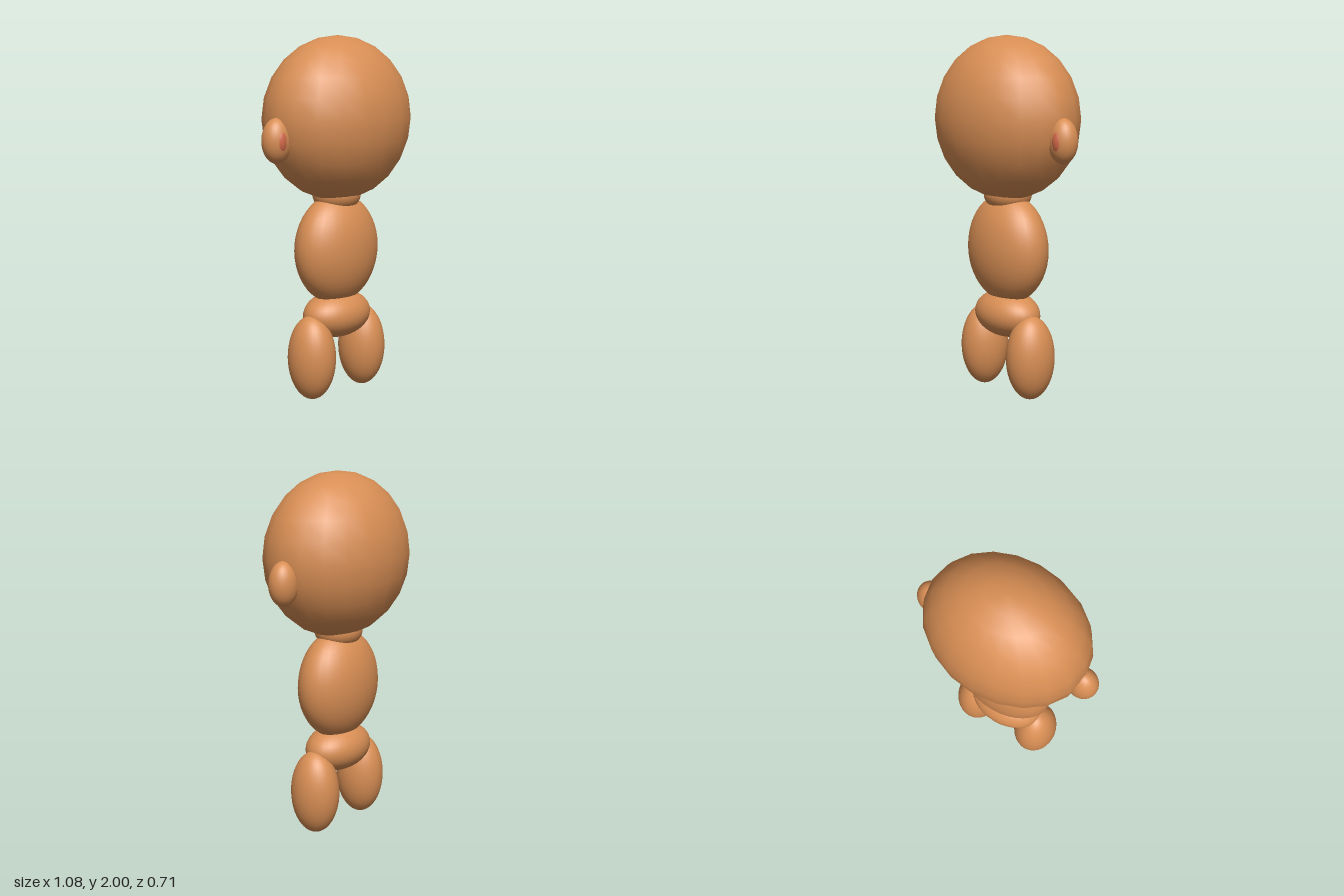
import * as THREE from 'three';

export function createModel() {
  const model = new THREE.Group();
  model.name = 'figure';

  const skin = new THREE.MeshStandardMaterial({ color: 0xd88e54 });
  skin.name = 'tan skin';
  const innerSkin = new THREE.MeshStandardMaterial({ color: 0xd2694a });
  innerSkin.name = 'reddish inner ear';

  // Smooth ellipsoid from a centre and three radii
  function ellipsoid(name, material, centre, radii, around = 32, down = 24) {
    const geometry = new THREE.SphereGeometry(1, around, down);
    geometry.scale(...radii);
    const mesh = new THREE.Mesh(geometry, material);
    mesh.name = name;
    mesh.position.set(...centre);
    model.add(mesh);
  }

  // Head, with fewer sides than the body
  ellipsoid('head', skin, [0, 1.55, -0.002], [0.463, 0.45, 0.357], 20, 12);

  // Neck, torso and pelvis
  ellipsoid('neck', skin, [0, 1.13, -0.01], [0.14, 0.1, 0.13]);
  ellipsoid('torso', skin, [0, 0.828, -0.01], [0.281, 0.31, 0.18]);
  ellipsoid('pelvis', skin, [0, 0.457, -0.008], [0.223, 0.132, 0.153]);

  // Mirrored ears and legs
  for (const [side, s] of [['left', 1], ['right', -1]]) {
    ellipsoid(side + 'Ear', skin, [s * 0.455, 1.45, -0.01], [0.085, 0.12, 0.075]);
    ellipsoid(side + 'InnerEar', innerSkin, [s * 0.468, 1.45, 0.03], [0.04, 0.07, 0.037]);
    ellipsoid(side + 'Leg', skin, [s * 0.204, 0.24, -0.006], [0.126, 0.235, 0.141]);
  }

  return model;
}
